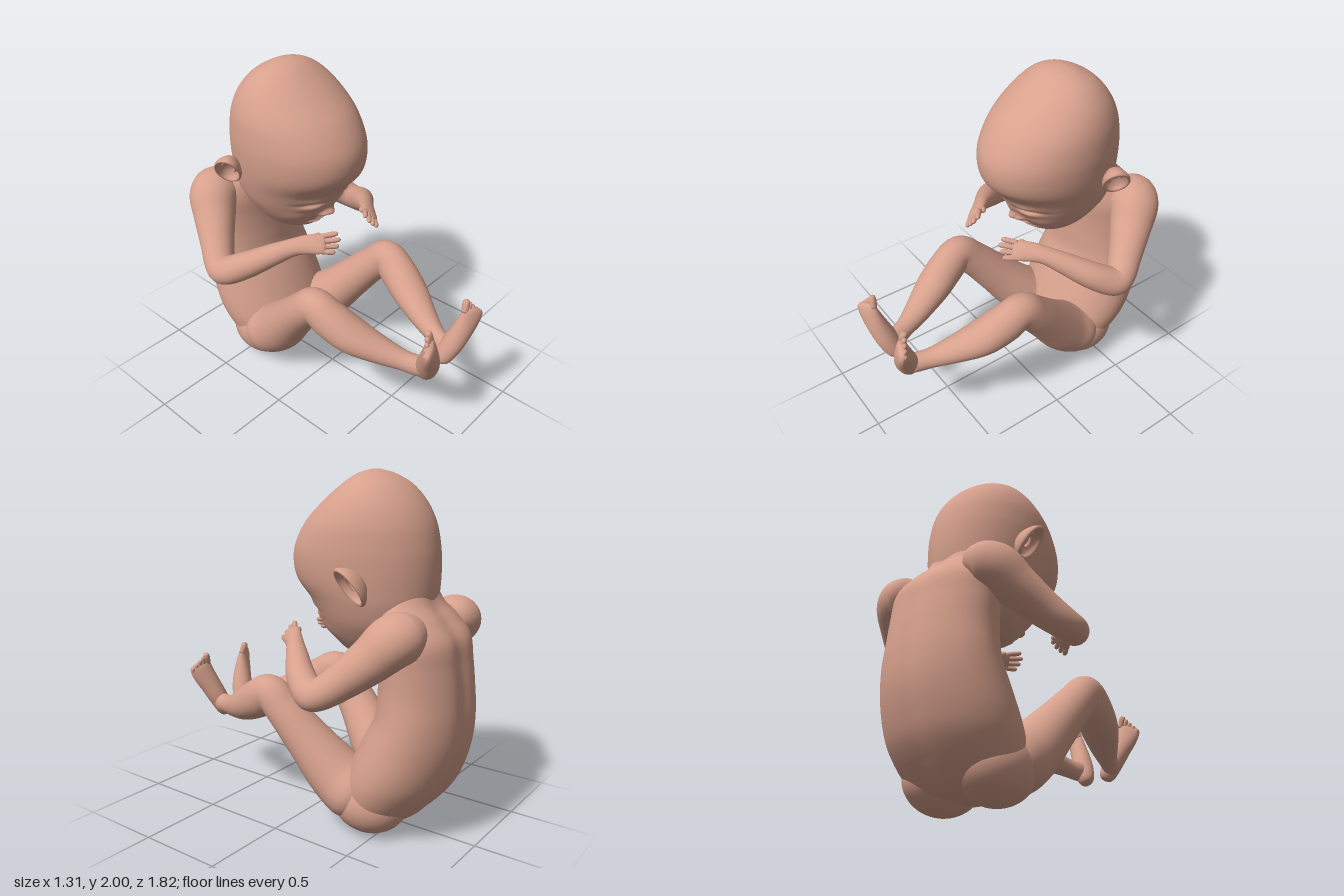
import * as THREE from 'three';

const V = (x, y, z) => new THREE.Vector3(x, y, z);

// Smooth skin through elliptical rings [x, y, z, a, b]: a lies along ref, b across it.
function loft(rings, ref, { steps = 8, segs = 32, axis = null, warp = null } = {}) {
  const mid = new THREE.CatmullRomCurve3(rings.map(r => V(r[0], r[1], r[2])), false, 'catmullrom');
  const rad = new THREE.CatmullRomCurve3(rings.map(r => V(r[3], r[4], 0)), false, 'catmullrom');
  const n = (rings.length - 1) * steps, pos = [], idx = [];
  const put = p => { if (warp) warp(p); pos.push(p.x, p.y, p.z); };
  for (let i = 0; i <= n; i++) {
    const c = mid.getPoint(i / n), r = rad.getPoint(i / n);
    const t = axis ? axis.clone() : mid.getTangent(i / n);
    const u = ref.clone().addScaledVector(t, -ref.dot(t)).normalize();
    const w = t.clone().cross(u);
    for (let j = 0; j < segs; j++) {
      const q = j / segs * Math.PI * 2;
      put(c.clone().addScaledVector(u, Math.max(r.x, 0.002) * Math.cos(q))
        .addScaledVector(w, Math.max(r.y, 0.002) * Math.sin(q)));
    }
  }
  for (let i = 0; i < n; i++) for (let j = 0; j < segs; j++) {
    const a = i * segs + j, b = i * segs + (j + 1) % segs;
    idx.push(a, b, b + segs, a, b + segs, a + segs);
  }
  // end caps
  put(mid.getPoint(0)); put(mid.getPoint(1));
  const s = (n + 1) * segs;
  for (let j = 0; j < segs; j++) {
    const k = (j + 1) % segs;
    idx.push(s, k, j, s + 1, n * segs + j, n * segs + k);
  }
  const g = new THREE.BufferGeometry();
  g.setAttribute('position', new THREE.Float32BufferAttribute(pos, 3));
  g.setIndex(idx);
  g.computeVertexNormals();
  return g;
}

// Rounded finger or toe from p to q
function digit(p, q, r, ref) {
  const at = (k, s) => [...p.clone().lerp(q, k).toArray(), r * s, r * s];
  return loft([at(0, 0.9), at(0.35, 1), at(0.7, 1), at(0.9, 0.8), at(0.97, 0.5), at(1, 0.05)], ref, { steps: 3, segs: 12 });
}

function mirrored(g) {
  const m = g.clone().scale(-1, 1, 1), ix = m.index.array;
  for (let i = 0; i < ix.length; i += 3) [ix[i], ix[i + 1]] = [ix[i + 1], ix[i]];
  m.computeVertexNormals();
  return m;
}

export function createModel() {
  const root = new THREE.Group();
  root.name = 'curledBaby';
  const skin = new THREE.MeshStandardMaterial({ color: 0xd6a08c });
  skin.name = 'skin';
  const add = (name, g) => {
    const m = new THREE.Mesh(g, skin);
    m.name = name;
    root.add(m);
  };
  const pair = (name, g) => { add(name + 'Left', g); add(name + 'Right', mirrored(g)); };
  const X = V(1, 0, 0), Y = V(0, 1, 0);
  // horizontal slice: height, front z, back z, half width
  const slice = ([y, f, b, w]) => [0, y, (f + b) / 2, w, (f - b) / 2];

  // Face relief: x, y, spread x, spread y, height; mirrored where x > 0
  const face = [
    [0.13, 1.265, 0.07, 0.022, 0.012], [0.13, 1.235, 0.065, 0.010, -0.022], [0.13, 1.205, 0.06, 0.02, 0.012],
    [0, 1.2, 0.03, 0.05, 0.015], [0, 1.14, 0.034, 0.028, 0.05], [0.042, 1.13, 0.018, 0.016, 0.025],
    [0, 1.1, 0.06, 0.012, -0.012], [0, 1.077, 0.06, 0.012, 0.02], [0, 1.06, 0.08, 0.007, -0.018],
    [0, 1.043, 0.05, 0.012, 0.018], [0, 1.005, 0.05, 0.02, 0.012], [0.17, 1.13, 0.06, 0.05, 0.015],
  ];
  const headRings = [
    [0.978, -0.27, -0.33, 0.03], [0.99, -0.21, -0.4, 0.09], [1.02, -0.155, -0.47, 0.14], [1.06, -0.115, -0.53, 0.185],
    [1.12, -0.06, -0.6, 0.23], [1.2, -0.01, -0.66, 0.275], [1.3, 0.05, -0.69, 0.31], [1.4, 0.14, -0.7, 0.335],
    [1.5, 0.165, -0.7, 0.348], [1.6, 0.145, -0.69, 0.35], [1.72, 0.07, -0.66, 0.335], [1.83, -0.045, -0.6, 0.29],
    [1.92, -0.155, -0.515, 0.215], [1.975, -0.235, -0.42, 0.12], [1.997, -0.3, -0.35, 0.03],
  ].map(slice);
  add('head', loft(headRings, X, {
    axis: Y, steps: 12, segs: 128,
    warp: p => {
      if (p.z < -0.3) return;
      const fade = Math.min(1, (p.z + 0.3) / 0.08);
      for (const [x, y, sx, sy, h] of face)
        p.z += fade * h * Math.exp(-(((Math.abs(p.x) - x) / sx) ** 2) - ((p.y - y) / sy) ** 2);
    },
  }));

  // Torso with neck, rounded back and a shallow spine groove
  const torsoRings = [
    [0.045, -0.38, -0.48, 0.1], [0.07, -0.28, -0.6, 0.24], [0.15, -0.21, -0.71, 0.33], [0.28, -0.23, -0.815, 0.375],
    [0.4, -0.28, -0.87, 0.385], [0.55, -0.35, -0.91, 0.37], [0.7, -0.425, -0.92, 0.35], [0.85, -0.44, -0.91, 0.335],
    [1.0, -0.44, -0.89, 0.335], [1.13, -0.43, -0.865, 0.335], [1.23, -0.43, -0.79, 0.29], [1.31, -0.42, -0.72, 0.22],
    [1.42, -0.42, -0.67, 0.17],
  ].map(slice);
  add('torso', loft(torsoRings, X, {
    axis: Y, steps: 8, segs: 72,
    warp: p => {
      if (p.z < -0.6) p.z += 0.022 * Math.exp(-((p.x / 0.07) ** 2)) * Math.min(1, (-0.6 - p.z) / 0.15);
    },
  }));

  // Buttocks
  pair('buttock', new THREE.SphereGeometry(1, 40, 28).scale(0.2, 0.19, 0.225).translate(0.175, 0.19, -0.435));

  // Legs, hip to ankle
  pair('leg', loft([
    [0.18, 0.16, -0.47, 0.1, 0.08], [0.2, 0.22, -0.36, 0.185, 0.165], [0.23, 0.31, -0.235, 0.17, 0.16],
    [0.28, 0.49, -0.075, 0.135, 0.13], [0.318, 0.65, 0.065, 0.112, 0.11], [0.33, 0.735, 0.165, 0.1, 0.108],
    [0.312, 0.68, 0.27, 0.11, 0.115], [0.27, 0.61, 0.4, 0.112, 0.1], [0.205, 0.55, 0.55, 0.085, 0.075],
    [0.155, 0.515, 0.67, 0.06, 0.06], [0.115, 0.5, 0.78, 0.05, 0.06], [0.11, 0.5, 0.82, 0.02, 0.03],
  ], X));

  // Feet and toes
  const footSide = V(0.85, -0.3, 0.4).normalize(), footDir = V(0.3, 0.93, 0.02).normalize();
  pair('foot', loft([
    [0.07, 0.412, 0.772, 0.01, 0.01], [0.074, 0.424, 0.776, 0.037, 0.035], [0.086, 0.46, 0.788, 0.054, 0.056],
    [0.118, 0.54, 0.815, 0.062, 0.066], [0.152, 0.62, 0.842, 0.066, 0.058], [0.185, 0.69, 0.862, 0.071, 0.044],
    [0.207, 0.745, 0.872, 0.07, 0.03], [0.217, 0.768, 0.872, 0.05, 0.018], [0.22, 0.776, 0.872, 0.01, 0.005],
  ], footSide));
  [0.021, 0.016, 0.015, 0.014, 0.013].forEach((r, i) => {
    const base = V(0.207, 0.747, 0.87).addScaledVector(footSide, -0.052 + i * 0.027).addScaledVector(footDir, -0.008 * i);
    const tip = base.clone().addScaledVector(footDir, 0.078 - i * 0.007).add(V(0, 0, -0.012));
    pair('toe' + (i + 1), digit(base, tip, r, X));
  });

  // Arms, shoulder to palm
  const handBack = V(0.55, 0.61, 0.26).normalize();
  pair('arm', loft([
    [0.2, 1.16, -0.69, 0.07, 0.08], [0.27, 1.175, -0.68, 0.13, 0.14], [0.345, 1.155, -0.65, 0.135, 0.145],
    [0.41, 1.07, -0.575, 0.118, 0.125], [0.495, 0.965, -0.465, 0.098, 0.1], [0.56, 0.895, -0.375, 0.083, 0.088],
    [0.568, 0.885, -0.31, 0.078, 0.085], [0.5, 0.94, -0.2, 0.078, 0.078], [0.4, 1.005, -0.095, 0.062, 0.064],
    [0.32, 1.05, -0.015, 0.046, 0.052], [0.265, 1.07, 0.045, 0.034, 0.056], [0.22, 1.075, 0.1, 0.026, 0.058],
    [0.2, 1.075, 0.123, 0.018, 0.048], [0.195, 1.075, 0.128, 0.004, 0.01],
  ], handBack));

  // Fingers and thumbs
  const across = V(0.45, -0.7, 0.4).normalize();
  [0.095, 0.11, 0.1, 0.08].forEach((len, i) => {
    const k = (i - 1.5) * 0.029;
    const base = V(0.212, 1.076, 0.108).addScaledVector(across, k);
    const tip = base.clone().add(V(-0.7, 0.04, 0.7).addScaledVector(across, k * 2.5).multiplyScalar(len));
    pair('finger' + (i + 1), digit(base, tip, 0.0155, Y));
  });
  pair('thumb', digit(V(0.265, 1.085, 0.03), V(0.175, 1.105, 0.07), 0.019, Y));

  // Ears: thick cupped shells with a rolled rim and an inner fold
  const up = V(0.36, 0.8, 0.48).normalize(), out = V(0.75, -0.52, 0.31);
  out.addScaledVector(up, -out.dot(up)).normalize();
  const place = new THREE.Matrix4().makeBasis(out.clone().cross(up), out, up).setPosition(0.388, 1.425, -0.435);
  const rim = new THREE.SplineCurve([
    [0.001, -0.07], [0.05, -0.06], [0.09, -0.025], [0.108, 0.005], [0.104, 0.02], [0.09, 0.018],
    [0.078, -0.005], [0.045, -0.03], [0.001, -0.035],
  ].map(p => new THREE.Vector2(...p)));
  const shape = g => g.scale(0.74, 1, 1.1).applyMatrix4(place);
  pair('ear', shape(new THREE.LatheGeometry(rim.getPoints(32), 40)));
  const fold = new THREE.TorusGeometry(0.05, 0.013, 10, 24, Math.PI * 1.2).rotateX(Math.PI / 2);
  pair('earFold', shape(fold.rotateY(0.6).translate(0, -0.02, 0)));

  return root;
}
